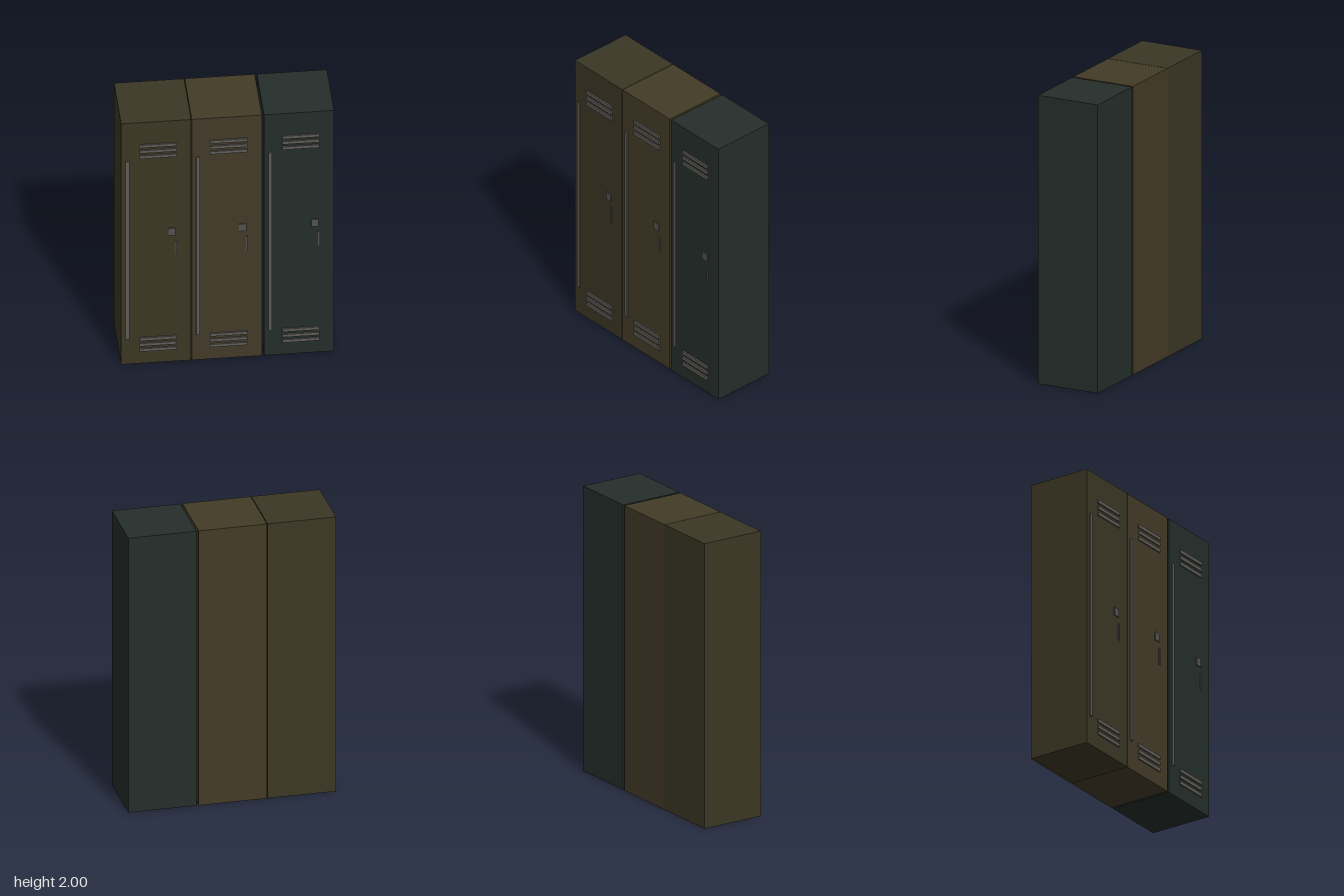
import * as THREE from 'three';

const FRONT = 0.22, BACK = -0.232, WIDTH = 0.467, HEIGHT = 2;

const material = (color) => new THREE.MeshStandardMaterial({ color });
const trimMaterial = material(0x5e5c58);
const lockMaterial = material(0x545250);

function box(name, w, h, d, x, y, z, mat) {
  const mesh = new THREE.Mesh(new THREE.BoxGeometry(w, h, d), mat);
  mesh.name = name;
  mesh.position.set(x, y, z);
  return mesh;
}

// A plate sunk slightly into the door and standing proud of it
function plate(name, w, h, proud, x, y, mat) {
  const sunk = 0.005;
  return box(name, w, h, proud + sunk, x, y, FRONT + (proud - sunk) / 2, mat);
}

function createLocker(name, x, color) {
  const locker = new THREE.Group();
  locker.name = name;
  locker.position.x = x;

  // Closed cabinet
  locker.add(box('cabinet', WIDTH, HEIGHT, FRONT - BACK, 0, HEIGHT / 2, (FRONT + BACK) / 2, material(color)));

  // Three vent slats near the top and three near the bottom
  for (const [name, y] of [['upperVent', 1.763], ['lowerVent', 0.16]]) {
    const vent = new THREE.Group();
    vent.name = name;
    for (let i = -1; i <= 1; i++) {
      vent.add(plate('ventSlat', 0.249, 0.023, 0.011, 0.012, y + i * 0.0445, trimMaterial));
    }
    locker.add(vent);
  }

  // Long hinge strip, lock plate and slim handle
  locker.add(plate('hingeStrip', 0.024, 1.476, 0.009, -0.192, 0.948, trimMaterial));
  locker.add(plate('lockPlate', 0.048, 0.058, 0.008, 0.105, 1.08, lockMaterial));
  locker.add(plate('handle', 0.011, 0.117, 0.008, 0.133, 0.947, lockMaterial));
  return locker;
}

export function createModel() {
  const model = new THREE.Group();
  model.name = 'lockers';
  model.add(createLocker('rightLocker', -0.478, 0x3b3724));
  model.add(createLocker('middleLocker', -0.007, 0x433b27));
  model.add(createLocker('leftLocker', 0.474, 0x242e2a));
  return model;
}
